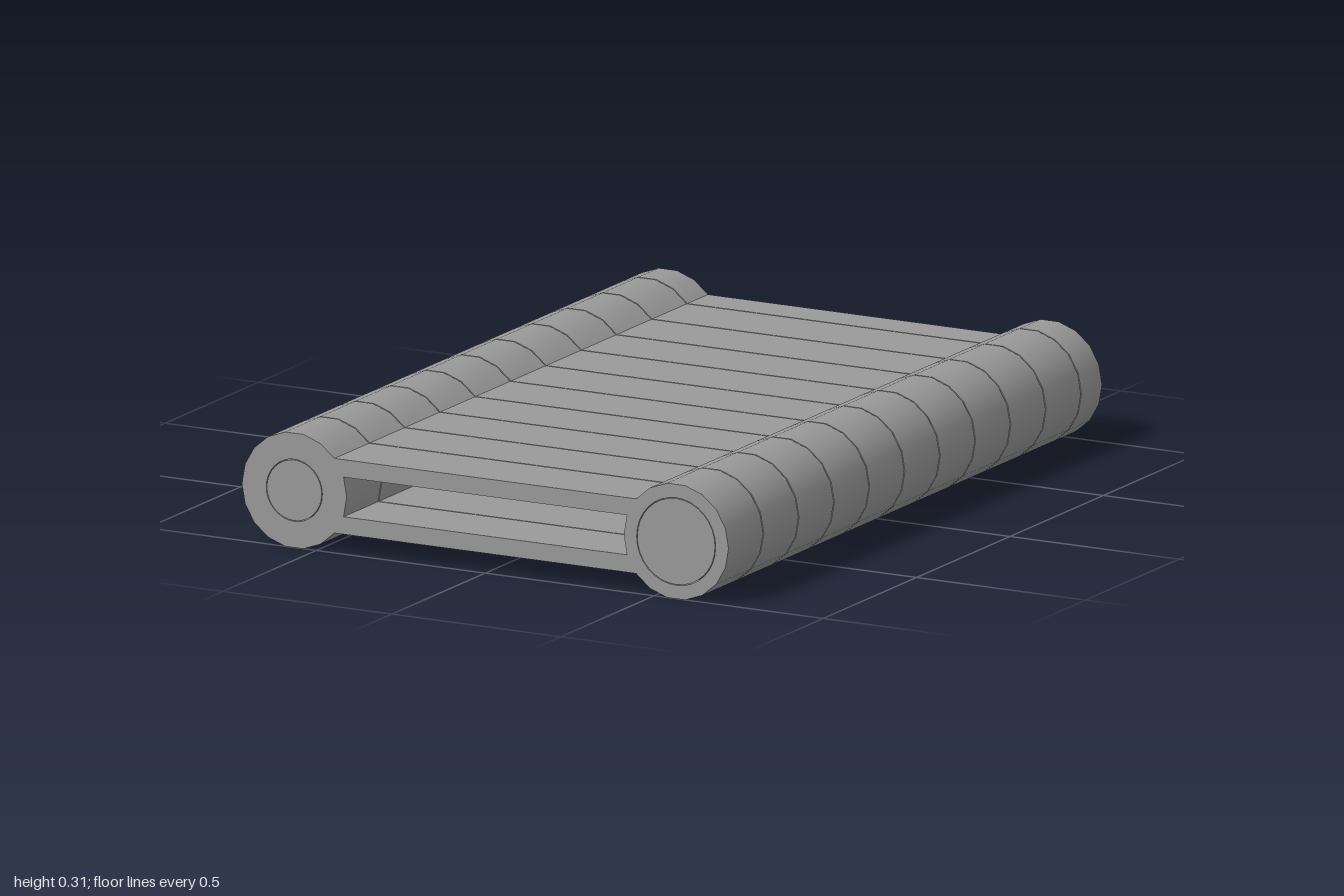
import * as THREE from 'three';
import { toCreasedNormals } from 'three/addons/utils/BufferGeometryUtils.js';

const AXIS_X = 0.565;      // distance of each roller axis from the centre
const AXIS_Y = 0.153;
const ROLLER_R = 0.155;    // corner radius of the 18-sided roller
const PITCH = 0.189;
const GAP = 0.004;         // slit between neighbouring links
const CLEARANCE = 0.002;   // play between pin and bore
const PINS = [{ name: 'rightPin', x: -AXIS_X, r: 0.081 }, { name: 'leftPin', x: AXIS_X, r: 0.115 }];

// Corners of the left roller from one angle to another, in 20 degree steps
function rollerCorners(from, to) {
  const points = [];
  for (let deg = from; deg <= to; deg += 20) {
    const a = THREE.MathUtils.degToRad(deg);
    points.push(new THREE.Vector2(AXIS_X + ROLLER_R * Math.cos(a), ROLLER_R * Math.sin(a)));
  }
  return points;
}

// Closes a half outline with its copy turned by 180 degrees
const withTurnedCopy = (half) => [...half, ...half.map((p) => new THREE.Vector2(-p.x, -p.y))];

// One link: two rollers joined by an upper and a lower bar, with bores for the pins
function linkShape() {
  const shape = new THREE.Shape(withTurnedCopy(rollerCorners(-140, 140)));
  shape.holes.push(new THREE.Path(withTurnedCopy(rollerCorners(160, 200).reverse())));
  for (const { x, r } of PINS) {
    shape.holes.push(new THREE.Path().absarc(x, 0, r + CLEARANCE, 0, Math.PI * 2, true));
  }
  return shape;
}

export function createModel() {
  const group = new THREE.Group();
  group.name = 'linkedPanel';
  const material = new THREE.MeshStandardMaterial({ color: 0x999999 });
  const shape = linkShape();

  // Ten full links and a narrower one at the back
  for (let i = 0; i < 11; i++) {
    const front = 1 - i * PITCH;
    const back = i < 10 ? front - PITCH + GAP : -1;
    const geometry = new THREE.ExtrudeGeometry(shape, {
      depth: front - back, bevelEnabled: false, curveSegments: 16,
    });
    const link = new THREE.Mesh(toCreasedNormals(geometry, 0.6), material);
    link.name = `link${i + 1}`;
    link.position.set(0, AXIS_Y, back);
    group.add(link);
  }

  // Pins running through all links, flush with both ends
  for (const { name, x, r } of PINS) {
    const pin = new THREE.Mesh(new THREE.CylinderGeometry(r, r, 2, 32), material);
    pin.name = name;
    pin.rotation.x = Math.PI / 2;
    pin.position.set(x, AXIS_Y, 0);
    group.add(pin);
  }
  return group;
}
